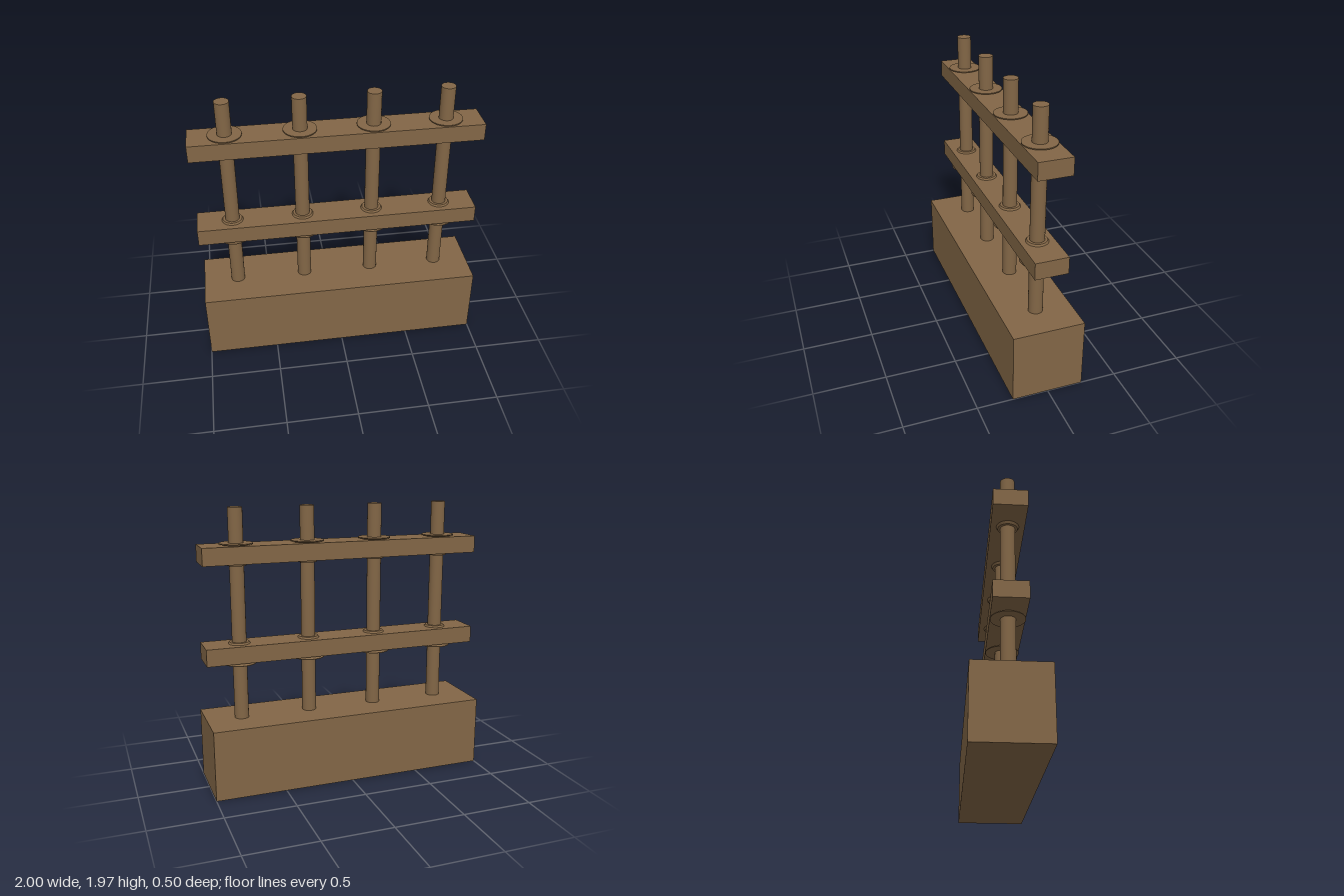
import * as THREE from 'three';

export function createModel() {
  const group = new THREE.Group();
  const brown = new THREE.MeshStandardMaterial({ color: 0x826646 });
  brown.name = 'brown';

  const add = (name, geometry, x, y) => {
    const mesh = new THREE.Mesh(geometry, brown);
    mesh.name = name;
    mesh.position.set(x, y, 0);
    group.add(mesh);
  };

  // Tapered disc between two heights
  const collar = (name, x, y0, y1, rBottom, rTop) =>
    add(name, new THREE.CylinderGeometry(rTop, rBottom, y1 - y0, 40), x, (y0 + y1) / 2);

  // Solid base and the two cross rails
  add('base', new THREE.BoxGeometry(2, 0.5, 0.5), 0, 0.25);
  add('lowerRail', new THREE.BoxGeometry(2, 0.12, 0.23), 0, 0.98);
  add('upperRail', new THREE.BoxGeometry(2, 0.12, 0.23), 0, 1.66);

  for (const x of [-0.75, -0.25, 0.25, 0.75]) {
    // Upright post
    add('post', new THREE.CylinderGeometry(0.05, 0.05, 1.47, 32), x, 1.235);

    // Wide flanges on the outer faces of the rails
    collar('lowerFlange', x, 0.902, 0.922, 0.115, 0.085);
    collar('lowerFlangeRim', x, 0.9, 0.904, 0.115, 0.115);
    collar('upperFlange', x, 1.715, 1.73, 0.085, 0.115);
    collar('upperFlangeRim', x, 1.726, 1.733, 0.115, 0.115);

    // Small collars on the inner faces of the rails
    collar('lowerCollar', x, 1.038, 1.053, 0.077, 0.068);
    collar('upperCollar', x, 1.582, 1.602, 0.067, 0.077);
  }
  return group;
}
